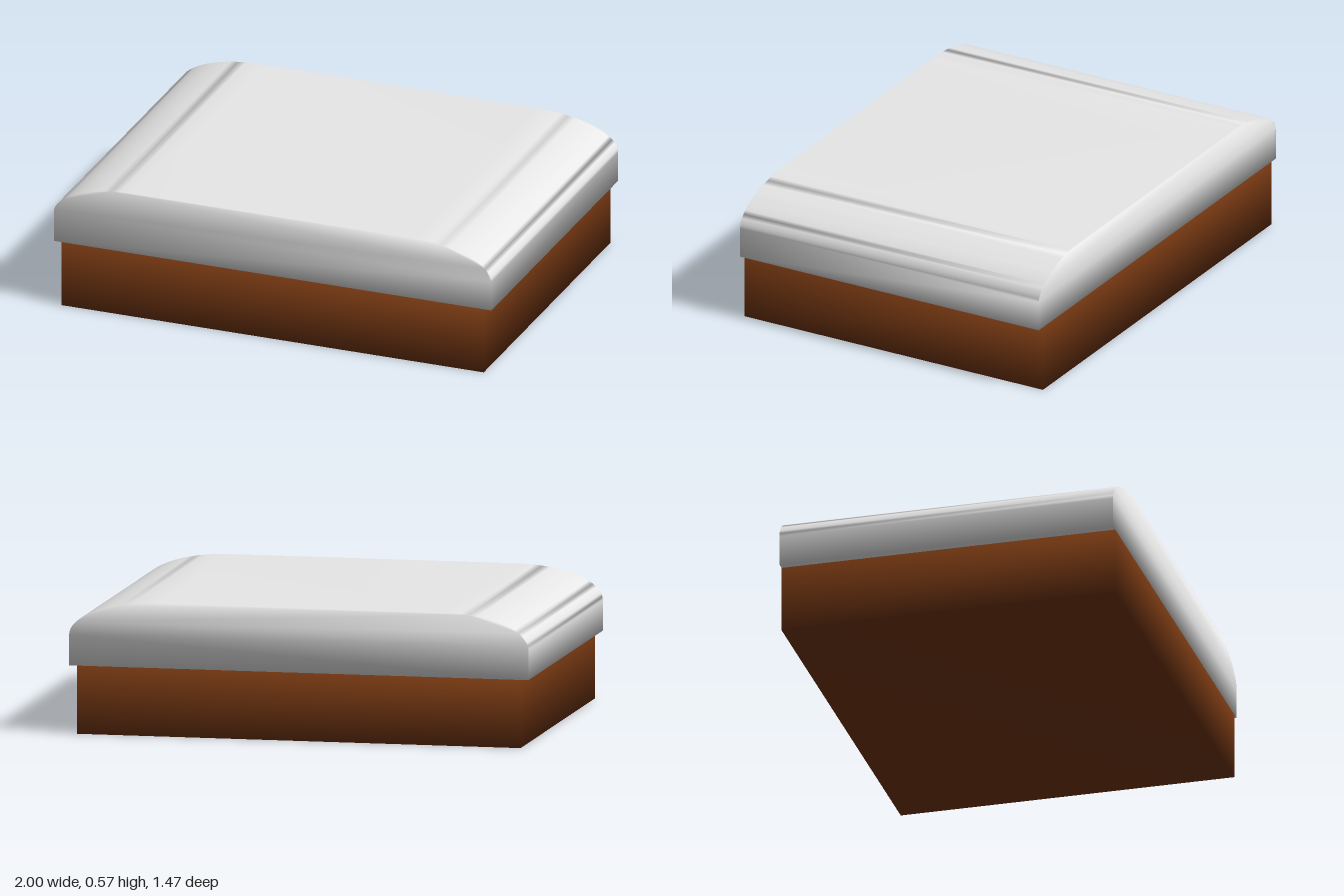
import * as THREE from 'three';
import { mergeVertices } from 'three/addons/utils/BufferGeometryUtils.js';

// Weld corners so shading flows softly around every edge
function soften(geometry) {
  geometry.deleteAttribute('uv');
  geometry.deleteAttribute('normal');
  const welded = mergeVertices(geometry, 1e-4);
  welded.computeVertexNormals();
  return welded;
}

export function createModel() {
  const group = new THREE.Group();
  group.name = 'bedBase';

  const wood = new THREE.MeshStandardMaterial({ color: 0x703510 });
  wood.name = 'dark brown wood';
  const fabric = new THREE.MeshStandardMaterial({ color: 0xf5f5f5 });
  fabric.name = 'white fabric';

  const depth = 1.47, seam = 0.293, top = 0.57;

  // Wooden base block
  const base = new THREE.Mesh(soften(new THREE.BoxGeometry(1.93, seam, depth)), wood);
  base.name = 'base';
  base.position.y = seam / 2;
  group.add(base);

  // Cushion: flat underside, short upright sides, wide elliptical shoulders
  const rx = 0.37, ry = 0.145;
  const profile = new THREE.Shape();
  profile.moveTo(-1, seam);
  profile.lineTo(1, seam);
  profile.lineTo(1, top - ry);
  profile.absellipse(1 - rx, top - ry, rx, ry, 0, Math.PI / 2, false, 0);
  profile.lineTo(rx - 1, top);
  profile.absellipse(rx - 1, top - ry, rx, ry, Math.PI / 2, Math.PI, false, 0);
  profile.closePath();
  const cushionGeometry = new THREE.ExtrudeGeometry(profile, {
    depth, bevelEnabled: false, curveSegments: 8,
  });
  cushionGeometry.translate(0, 0, -depth / 2);
  const cushion = new THREE.Mesh(soften(cushionGeometry), fabric);
  cushion.name = 'cushion';
  group.add(cushion);

  return group;
}
